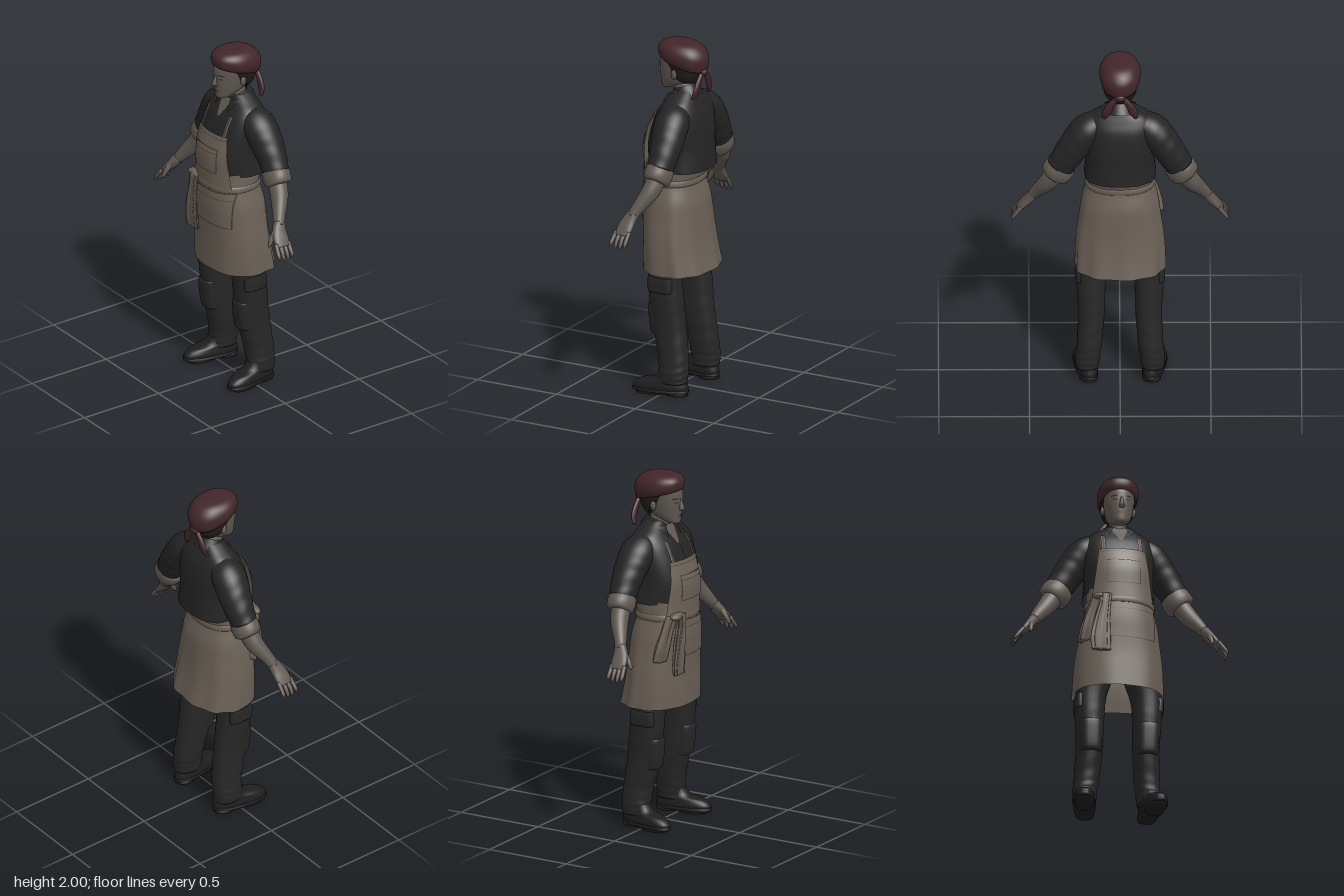
import * as THREE from 'three';

const mat = (name, color, side = THREE.FrontSide) => {
  const m = new THREE.MeshStandardMaterial({ color, side });
  m.name = name;
  return m;
};

// Catmull-Rom smoothing of rows of numbers, keeping the end rows
function smooth(rows, k = 5) {
  const out = [], at = i => rows[Math.max(0, Math.min(rows.length - 1, i))];
  for (let i = 0; i < rows.length - 1; i++) for (let s = 0; s < k; s++) {
    const t = s / k, p = [-1, 0, 1, 2].map(o => at(i + o));
    out.push(p[1].map((b, c) => {
      const a = p[0][c], d = p[2][c], e = p[3][c];
      return b + 0.5 * t * (d - a + t * (2 * a - 5 * b + 4 * d - e + t * (3 * (b - d) + e - a)));
    }));
  }
  out.push(rows[rows.length - 1]);
  return out;
}

// Skin of superelliptic rings along rows of [x, y, z, radiusAcross, radiusDeep].
// flat keeps the rings level; tilt raises their front; ripple varies the radius.
function loft(rows, { n = 2, seg = 32, flat = false, caps = true, tilt = 0, ripple = null } = {}) {
  const pos = [], idx = [], N = rows.length, P = rows.map(r => new THREE.Vector3(r[0], r[1], r[2]));
  const pw = c => Math.sign(c) * Math.abs(c) ** (2 / n);
  rows.forEach((r, i) => {
    const d = flat ? new THREE.Vector3(0, 1, 0)
      : P[Math.min(N - 1, i + 1)].clone().sub(P[Math.max(0, i - 1)]).normalize();
    const v = new THREE.Vector3(0, 0, 1).addScaledVector(d, -d.z).normalize();
    const u = d.clone().cross(v);
    for (let j = 0; j < seg; j++) {
      const a = j / seg * Math.PI * 2, k = ripple ? 1 + ripple(a, i / (N - 1)) : 1;
      const q = P[i].clone().addScaledVector(u, r[3] * k * pw(Math.cos(a))).addScaledVector(v, r[4] * k * pw(Math.sin(a)));
      pos.push(q.x, q.y + tilt * (1 - i / (N - 1)) * (q.z - r[2]), q.z);
    }
  });
  for (let i = 0; i < N - 1; i++) for (let j = 0; j < seg; j++) {
    const a = i * seg + j, b = i * seg + (j + 1) % seg;
    idx.push(a, a + seg, b, b, a + seg, b + seg);
  }
  if (caps) {
    pos.push(...P[0].toArray(), ...P[N - 1].toArray());
    const c0 = N * seg, top = (N - 1) * seg;
    for (let j = 0; j < seg; j++) {
      const k = (j + 1) % seg;
      idx.push(c0, j, k, c0 + 1, top + k, top + j);
    }
  }
  const g = new THREE.BufferGeometry();
  g.setAttribute('position', new THREE.Float32BufferAttribute(pos, 3));
  g.setIndex(idx);
  g.computeVertexNormals();
  return g;
}

// Depth of the front of a level loft at x, y
function frontZ(rows, n, x, y) {
  let i = 0;
  while (i < rows.length - 2 && rows[i + 1][1] < y) i++;
  const t = THREE.MathUtils.clamp((y - rows[i][1]) / (rows[i + 1][1] - rows[i][1]), 0, 1);
  const [, , cz, rx, rz] = rows[i].map((a, c) => a + (rows[i + 1][c] - a) * t);
  return cz + rz * Math.max(0, 1 - Math.abs((x - rows[i][0]) / rx) ** n) ** (1 / n);
}

// Cloth panel lying on the front of a loft; left and right edges may vary with t
function panel(rows, n, xa, xb, y0, y1, off) {
  const g = new THREE.PlaneGeometry(1, 1, 16, 16), p = g.attributes.position;
  for (let i = 0; i < p.count; i++) {
    const t = p.getY(i) + 0.5, y = y0 + (y1 - y0) * t, a = xa(t), x = a + (xb(t) - a) * (p.getX(i) + 0.5);
    p.setXYZ(i, x, y, frontZ(rows, n, x, y) + off);
  }
  g.computeVertexNormals();
  return g;
}

export function createModel() {
  const D = THREE.DoubleSide;
  const skin = mat('skin', 0x5f5851), apron = mat('apron canvas', 0x6a6056, D), seam = mat('seam', 0x3b3530, D);
  const shirt = mat('dark shirt', 0x242424, D), trousers = mat('trousers', 0x262626), boots = mat('boot leather', 0x1e1e1e);
  const scarf = mat('red scarf', 0x42262a, D), hair = mat('hair', 0x1f1c1a), cuffCloth = mat('cuff lining', 0x625a53), lip = mat('lips', 0x51433e);
  const root = new THREE.Group();
  const add = (name, g, m) => {
    const mesh = new THREE.Mesh(g, m);
    mesh.name = name;
    root.add(mesh);
    return mesh;
  };
  const ball = (name, m, x, y, z, sx, sy, sz) => {
    const b = add(name, new THREE.SphereGeometry(1, 16, 12), m);
    b.position.set(x, y, z);
    b.scale.set(sx, sy, sz);
    return b;
  };

  // Shirt body
  const torso = smooth([[0, 1.285, -.022, .198, .165], [0, 1.4, -.01, .19, .17], [0, 1.5, -.018, .195, .157], [0, 1.6, -.03, .192, .13],
    [0, 1.66, -.037, .17, .098], [0, 1.7, -.04, .115, .075], [0, 1.73, -.04, .07, .06]]);
  add('shirtBody', loft(torso, { n: 2.5, seg: 48, flat: true, caps: false, ripple: (a, t) => .018 * Math.sin(a * 9) * Math.max(0, .5 - t) }), shirt);
  add('shirtPlacket', panel(torso, 2.5, () => -.014, () => .014, 1.5, 1.61, .005), shirt);
  add('openNeck', panel(torso, 2.5, t => -.004 - .045 * t, t => .004 + .045 * t, 1.6, 1.705, .004), skin);
  const collar = add('collar', new THREE.CylinderGeometry(.062, .088, .065, 32, 1, true, .6, Math.PI * 2 - 1.2), shirt);
  collar.position.set(0, 1.715, -.035);
  collar.rotation.x = .3;

  // Apron: skirt, waist, bib
  const skirt = smooth([[0, .695, -.015, .25, .19], [0, .8, -.003, .247, .178], [0, .9, .005, .24, .17], [0, 1, .012, .226, .168],
    [0, 1.1, .02, .212, .166], [0, 1.2, .032, .187, .152], [0, 1.25, .027, .182, .155], [0, 1.3, .02, .18, .16]]);
  const fold = (a, t) => Math.max(0, .7 - t) * (a > Math.PI ? .035 * Math.sin(a * 10) : .012 * Math.sin(a * 8));
  add('apronSkirt', loft(skirt, { n: 2.3, seg: 96, flat: true, caps: false, ripple: fold }), apron);
  const band = [[0, 1.195, .03, .19, .155], [0, 1.203, .03, .195, .161], [0, 1.222, .03, .194, .16], [0, 1.23, .03, .187, .156]];
  add('waistTie', loft(band, { n: 2.3, seg: 64, flat: true, caps: false }), apron);
  const chest = smooth([[0, 1.2, .03, .21, .158], [0, 1.3, .015, .206, .174], [0, 1.4, .01, .204, .18], [0, 1.48, 0, .203, .172], [0, 1.535, 0, .203, .155]]);
  const bibW = t => .175 - .05 * Math.sqrt(t) * (.5 + .5 * t) + .004 * t;
  add('bib', panel(chest, 2.2, t => -bibW(t), bibW, 1.22, 1.53, 0), apron);
  add('bibHem', panel(chest, 2.2, () => -.128, () => .128, 1.508, 1.511, .003), seam);

  // Pockets: a dark stitched border behind each raised panel
  const pocket = (name, rows, n, x0, x1, y0, y1, flap) => {
    const e = .003;
    add(name + 'Stitching', panel(rows, n, () => x0 - e, () => x1 + e, y0 - e, y1 + e, .005), seam);
    add(name, panel(rows, n, () => x0, () => x1, y0, y1, .009), apron);
    add(name + 'HemLine', panel(rows, n, () => x0, () => x1, flap, flap + .003, .011), seam);
  };
  pocket('chestPocket', chest, 2.2, -.09, .095, 1.31, 1.45, 1.425);
  pocket('hipPocket', skirt, 2.3, -.08, .178, .985, 1.19, 1.15);

  // Cloth tucked into the waist tie on the right hip
  const cloth = (name, rows, f) => add(name, loft(smooth(rows), { n: 2.6, seg: 40, flat: true, ripple: a => .16 * Math.sin(a * f) }), apron);
  cloth('hangingClothFront', [[-.125, .895, .182, .048, .012], [-.13, .97, .185, .05, .016], [-.12, 1.08, .185, .038, .02], [-.105, 1.17, .184, .028, .02], [-.1, 1.235, .18, .03, .02]], 7);
  cloth('hangingClothSide', [[-.195, .975, .1, .042, .03], [-.19, 1.05, .115, .036, .034], [-.165, 1.15, .13, .03, .03], [-.14, 1.23, .145, .03, .03]], 6);
  ball('clothKnot', apron, -.12, 1.225, .168, .055, .022, .03);

  // Neck and head
  add('neck', loft([[0, 1.6, -.045, .058, .058], [0, 1.7, -.025, .05, .055], [0, 1.79, -.01, .05, .06]]), skin);
  const head = smooth([[0, 1.718, .082, .018, .018], [0, 1.732, .062, .043, .046], [0, 1.77, .022, .066, .09], [0, 1.82, .008, .078, .108],
    [0, 1.87, 0, .085, .117], [0, 1.92, -.01, .085, .118], [0, 1.97, -.02, .05, .07]]);
  add('head', loft(head, { n: 2.15, seg: 40, flat: true }), skin);
  add('nose', loft([[0, 1.797, .11, .01, .012], [0, 1.806, .117, .017, .025], [0, 1.822, .115, .012, .021], [0, 1.868, .105, .007, .014]], { flat: true, seg: 16 }), skin);
  add('upperLip', panel(head, 2.15, () => -.023, () => .023, 1.771, 1.778, .004), lip);
  add('lowerLip', panel(head, 2.15, () => -.018, () => .018, 1.762, 1.769, .005), lip);

  // Hair below the scarf, at the sides and nape
  add('hair', loft(smooth([[0, 1.77, -.055, .05, .045], [0, 1.8, -.045, .082, .075], [0, 1.85, -.035, .094, .105], [0, 1.91, -.02, .098, .125]]), { flat: true }), hair);

  // Head scarf with knot and tails
  const dome = smooth([[0, 1.875, -.022, .1, .135], [0, 1.905, -.022, .112, .144], [0, 1.945, -.023, .111, .143], [0, 1.978, -.021, .092, .118], [0, 1.996, -.02, .06, .075], [0, 2, -.02, .004, .004]], 4);
  add('headScarf', loft(dome, { n: 2.15, seg: 48, flat: true, tilt: .27, ripple: (a, t) => .012 * (1 - t) * Math.sin(a * 7) }), scarf);
  ball('scarfKnot', scarf, 0, 1.84, -.148, .032, .024, .024);

  for (const s of [1, -1]) {
    const side = s > 0 ? 'left' : 'right';
    const mx = rows => rows.map(([x, ...r]) => [s * x, ...r]);

    // Face details, ear, scarf tail
    add(side + 'Eye', panel(head, 2.15, t => s * .037 - .013 + .004 * t, t => s * .037 + .013 - .004 * t, 1.845, 1.853, .003), seam);
    add(side + 'Brow', panel(head, 2.15, () => s * .038 - .018, () => s * .038 + .018, 1.867, 1.873, .003), hair);
    ball(side + 'Ear', skin, s * .088, 1.825, -.01, .011, .028, .018);
    add(side + 'ScarfTail', loft(smooth(mx([[.09, 1.7, -.13, .012, .008], [.075, 1.74, -.142, .024, .013], [.05, 1.79, -.145, .02, .014], [.008, 1.845, -.145, .012, .012]])), { seg: 16 }), scarf);

    // Collar point and apron strap
    add(side + 'CollarPoint', panel(torso, 2.5, t => s * (.065 - .045 * (1 - t) * .2) - .03 * t, t => s * .062 + .03 * t, 1.645, 1.71, .012), shirt);
    add(side + 'Strap', panel(torso, 2.5, () => s * .102 - .012, () => s * .102 + .012, 1.51, 1.635, .014), apron);
    add(side + 'StrapStitching', panel(torso, 2.5, () => s * .102 - .004, () => s * .102 + .004, 1.53, 1.632, .017), seam);

    // Sleeve, rolled cuff, forearm
    const sleeve = smooth(mx([[.1, 1.615, -.045, .07, .075], [.18, 1.575, -.05, .09, .098], [.255, 1.475, -.06, .087, .09], [.33, 1.35, -.06, .077, .072]]), 8);
    add(side + 'Sleeve', loft(sleeve, { ripple: (a, t) => .022 * t * Math.sin(t * 34 + 2 * Math.sin(a)) }), shirt);
    add(side + 'Cuff', loft(mx([[.314, 1.362, -.06, .07, .065], [.32, 1.354, -.059, .084, .075], [.34, 1.324, -.057, .088, .077], [.36, 1.296, -.054, .084, .074], [.366, 1.287, -.053, .066, .06]])), cuffCloth);
    add(side + 'Forearm', loft(smooth(mx([[.34, 1.32, -.055, .056, .056], [.395, 1.235, -.035, .052, .05], [.45, 1.16, .005, .038, .037], [.485, 1.11, .03, .028, .031]])), { seg: 24 }), skin);

    // Hand with four fingers and a thumb
    add(side + 'Palm', loft(smooth(mx([[.475, 1.125, .024, .029, .031], [.505, 1.08, .042, .025, .043], [.535, 1.045, .05, .019, .047], [.56, 1.015, .053, .012, .042]])), { seg: 24, n: 2.4 }), skin);
    for (let f = 0; f < 4; f++) {
      const z = .014 + .026 * f, l = [.008, 0, 0, .01][f];
      add(side + 'Finger' + (f + 1), loft(smooth(mx([[.545, 1.035, z, .012, .013], [.575, .995, z * 1.08, .011, .012], [.59, .965 + l, z * 1.1, .009, .01], [.594, .95 + l, z * 1.1, .004, .004]])), { seg: 12 }), skin);
    }
    add(side + 'Thumb', loft(smooth(mx([[.498, 1.09, .062, .016, .018], [.502, 1.05, .093, .014, .015], [.507, 1.022, .108, .011, .011], [.509, 1.008, .113, .004, .004]])), { seg: 12 }), skin);

    // Trouser leg with creases, cargo pocket and knee panel
    const leg = smooth(mx([[.18, .075, -.06, .064, .078], [.178, .13, -.06, .068, .082], [.168, .22, -.053, .07, .086], [.158, .4, -.022, .074, .096],
      [.16, .55, -.005, .08, .097], [.155, .68, .005, .086, .096], [.118, .85, .005, .1, .115], [.09, 1.02, .01, .1, .12]]), 8);
    add(side + 'TrouserLeg', loft(leg, { n: 2.3, flat: true, ripple: (a, t) => .025 * Math.max(0, .75 - t) * Math.sin(t * 75 + 2 * Math.sin(a + s)) }), trousers);
    add(side + 'CargoPocket', loft(mx([[.2, .595, .002, .042, .07], [.202, .602, .002, .046, .075], [.202, .672, .004, .046, .075], [.2, .68, .004, .042, .07]]), { n: 4, flat: true }), trousers);
    add(side + 'KneePanel', loft(smooth(mx([[.158, .34, .005, .05, .06], [.158, .36, .01, .06, .074], [.16, .5, .022, .064, .075], [.16, .52, .02, .055, .064]])), { n: 3, flat: true }), trousers);

    // Boot: upper, sole and heel turned slightly outward
    const boot = new THREE.Group();
    boot.name = side + 'Boot';
    boot.position.set(s * .178, 0, -.06);
    boot.rotation.y = s * .17;
    const parts = {
      Upper: smooth([[0, .02, .075, .055, .158], [0, .045, .075, .06, .16], [0, .075, .06, .056, .137], [0, .1, .018, .055, .092], [0, .16, 0, .056, .072]]),
      Sole: [[0, .012, .08, .054, .155], [0, .016, .077, .062, .163], [0, .03, .077, .062, .163], [0, .034, .077, .055, .156]],
      Heel: [[0, 0, -.02, .05, .06], [0, .02, -.02, .053, .063]],
      Tread: [[0, 0, .13, .05, .085], [0, .02, .13, .055, .1]]
    };
    for (const k in parts) {
      const m = add(side + 'Boot' + k, loft(parts[k], { n: 2.4, flat: true }), boots);
      boot.add(m);
    }
    root.add(boot);
  }
  return root;
}
